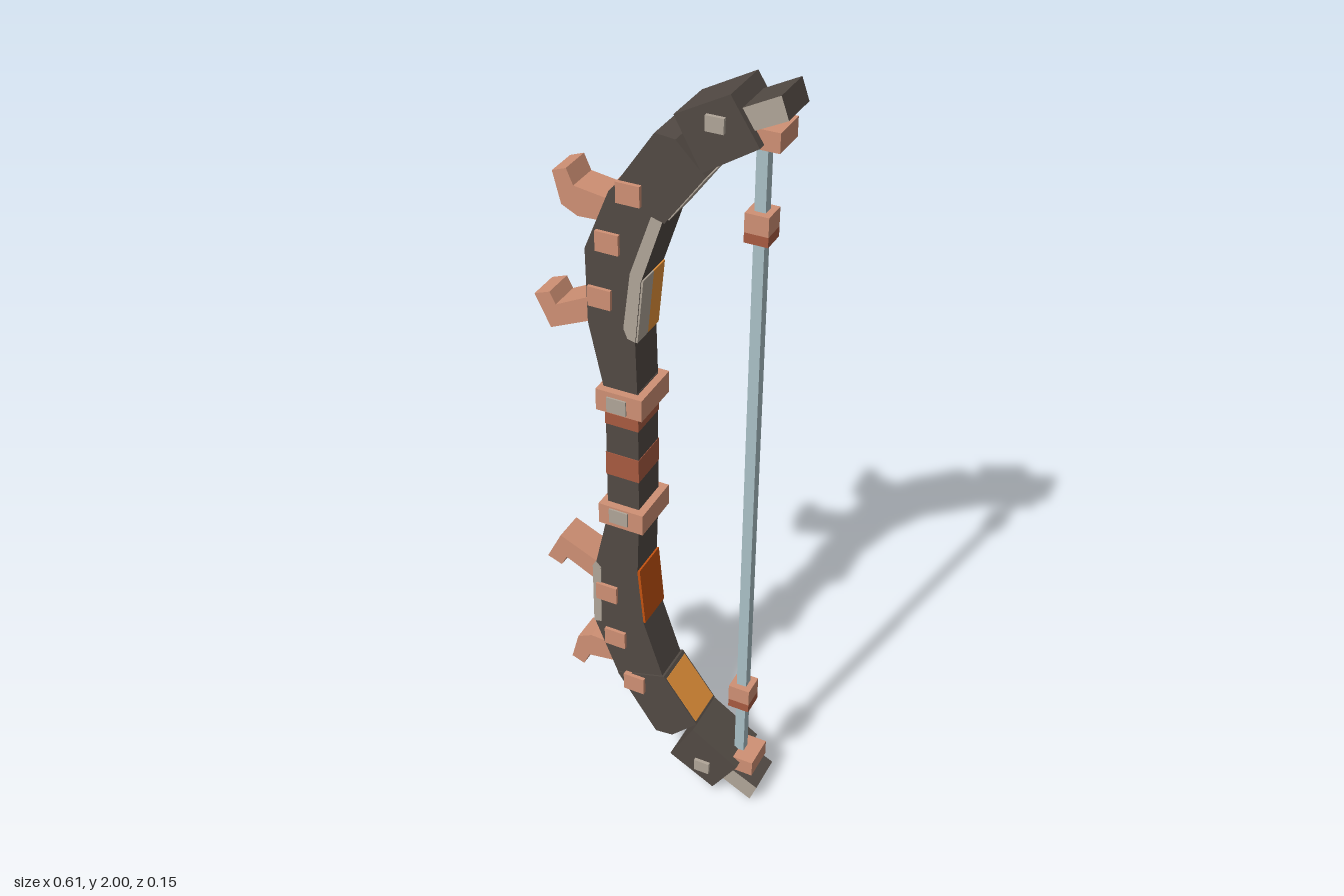
import * as THREE from 'three';

const mat = (name, color) => {
  const m = new THREE.MeshStandardMaterial({ color });
  m.name = name;
  return m;
};

export function createModel() {
  const bow = new THREE.Group();
  bow.name = 'bow';
  const dark = mat('dark wood', 0x524a44);
  const copper = mat('copper', 0xcf9074);
  const wrapMat = mat('dark copper', 0xa85a40);
  const pale = mat('pale stone', 0xb0a598);
  const orange = mat('light orange', 0xe8943a);
  const ember = mat('deep orange', 0xc45210);
  const stringMat = mat('pale blue string', 0xaac0c6);

  // Flat outline in x,y extruded from z0 to z1; low = mirrored onto the lower limb
  const slab = (parent, name, pts, z0, z1, material, low) => {
    const shape = new THREE.Shape(pts.map(([x, y]) => new THREE.Vector2(x, low ? 2 - y : y)));
    const geo = new THREE.ExtrudeGeometry(shape, { depth: z1 - z0, bevelEnabled: false });
    geo.translate(0, 0, z0);
    const mesh = new THREE.Mesh(geo, material);
    mesh.name = name;
    parent.add(mesh);
  };
  const box = (parent, name, x, y, w, h, d, material) => {
    const mesh = new THREE.Mesh(new THREE.BoxGeometry(w, h, d), material);
    mesh.position.set(x, y, 0);
    mesh.name = name;
    parent.add(mesh);
  };
  // Thin inlay lying on the string side of a limb, from p to q
  const inlay = (parent, p, q, z0, z1, material, low) =>
    slab(parent, 'inlay', [p, q, [q[0] + 0.007, q[1] - 0.002], [p[0] + 0.007, p[1] - 0.002]],
      z0, z1, material, low);

  // Grip with dark copper wraps
  box(bow, 'grip', -0.077, 1, 0.085, 0.4, 0.104, dark);
  box(bow, 'gripWrap', -0.077, 1.118, 0.088, 0.05, 0.108, wrapMat);
  box(bow, 'gripWrap', -0.077, 0.977, 0.088, 0.065, 0.108, wrapMat);

  for (const low of [false, true]) {
    const limb = new THREE.Group();
    limb.name = low ? 'lowerLimb' : 'upperLimb';
    bow.add(limb);
    const Y = (y) => (low ? 2 - y : y);

    // Curved limb in two lengths, then the wide end block and the nock
    slab(limb, 'innerLimb', [[-0.118, 1.17], [-0.16, 1.36], [-0.163, 1.55], [-0.1, 1.705],
      [0.035, 1.68], [-0.025, 1.5], [-0.04, 1.34], [-0.035, 1.17]], -0.054, 0.052, dark, low);
    slab(limb, 'outerLimb', [[-0.1, 1.7], [0.012, 1.865], [0.06, 1.86], [0.13, 1.79],
      [0.035, 1.66]], -0.058, 0.056, dark, low);
    slab(limb, 'endBlock', [[0.06, 1.92], [0.185, 1.988], [0.252, 1.885], [0.125, 1.803]],
      -0.068, 0.066, dark, low);
    slab(limb, 'nock', [[0.2, 1.955], [0.287, 2], [0.305, 1.95], [0.205, 1.9]],
      -0.053, 0.051, [pale, dark], low);
    box(limb, 'endRivet', 0.155, Y(1.92), 0.042, 0.035, 0.15, pale);
    box(limb, 'stringHook', 0.255, Y(1.895), 0.064, 0.045, 0.09, copper);

    // Collar at the grip end
    box(limb, 'collar', -0.075, Y(1.168), 0.12, 0.058, 0.142, copper);
    box(limb, 'collarPlate', -0.08, Y(1.164), 0.05, 0.04, 0.151, pale);

    // Copper studs showing on both faces
    for (const [x, y, d] of [[-0.048, 1.713, 0.132], [-0.104, 1.58, 0.122], [-0.126, 1.435, 0.122]])
      box(limb, 'stud', x, Y(y), 0.058, 0.05, d, copper);

    // Hooked thorns on the outer curve
    slab(limb, 'outerThorn', [[-0.245, 1.715], [-0.21, 1.728], [-0.193, 1.69], [-0.09, 1.675],
      [-0.09, 1.622], [-0.185, 1.618], [-0.225, 1.638]], -0.042, 0.04, copper, low);
    slab(limb, 'innerThorn', [[-0.305, 1.39], [-0.265, 1.405], [-0.25, 1.375], [-0.13, 1.435],
      [-0.12, 1.375], [-0.265, 1.31]], -0.042, 0.04, copper, low);
  }

  // Upper limb inlays: pale edge strip and string-side plates
  slab(bow, 'edgeStrip', [[-0.058, 1.345], [-0.068, 1.37], [-0.05, 1.515], [0.012, 1.695],
    [0.036, 1.68], [-0.023, 1.5], [-0.038, 1.34]], -0.057, 0.055, [pale, dark], false);
  inlay(bow, [-0.041, 1.34], [-0.025, 1.505], 0, 0.052, pale, false);
  inlay(bow, [-0.041, 1.34], [-0.025, 1.505], -0.054, 0, orange, false);
  inlay(bow, [0.037, 1.67], [0.125, 1.79], -0.054, 0.052, pale, false);

  // Lower limb inlays: pale outer strip and orange plates
  slab(bow, 'edgeStrip', [[-0.158, 1.345], [-0.166, 1.36], [-0.166, 1.545], [-0.145, 1.54],
    [-0.143, 1.36]], -0.057, 0.055, pale, true);
  inlay(bow, [-0.041, 1.335], [-0.026, 1.5], -0.054, 0.052, ember, true);
  inlay(bow, [0.035, 1.67], [0.12, 1.785], -0.054, 0.052, orange, true);

  // Bowstring with its two copper blocks
  box(bow, 'bowstring', 0.235, 1, 0.026, 1.78, 0.026, stringMat);
  for (const y of [1.68, 0.325]) {
    box(bow, 'stringBlock', 0.235, y + 0.012, 0.056, 0.046, 0.058, copper);
    box(bow, 'stringBlockBase', 0.235, y - 0.023, 0.056, 0.024, 0.058, wrapMat);
  }
  return bow;
}
